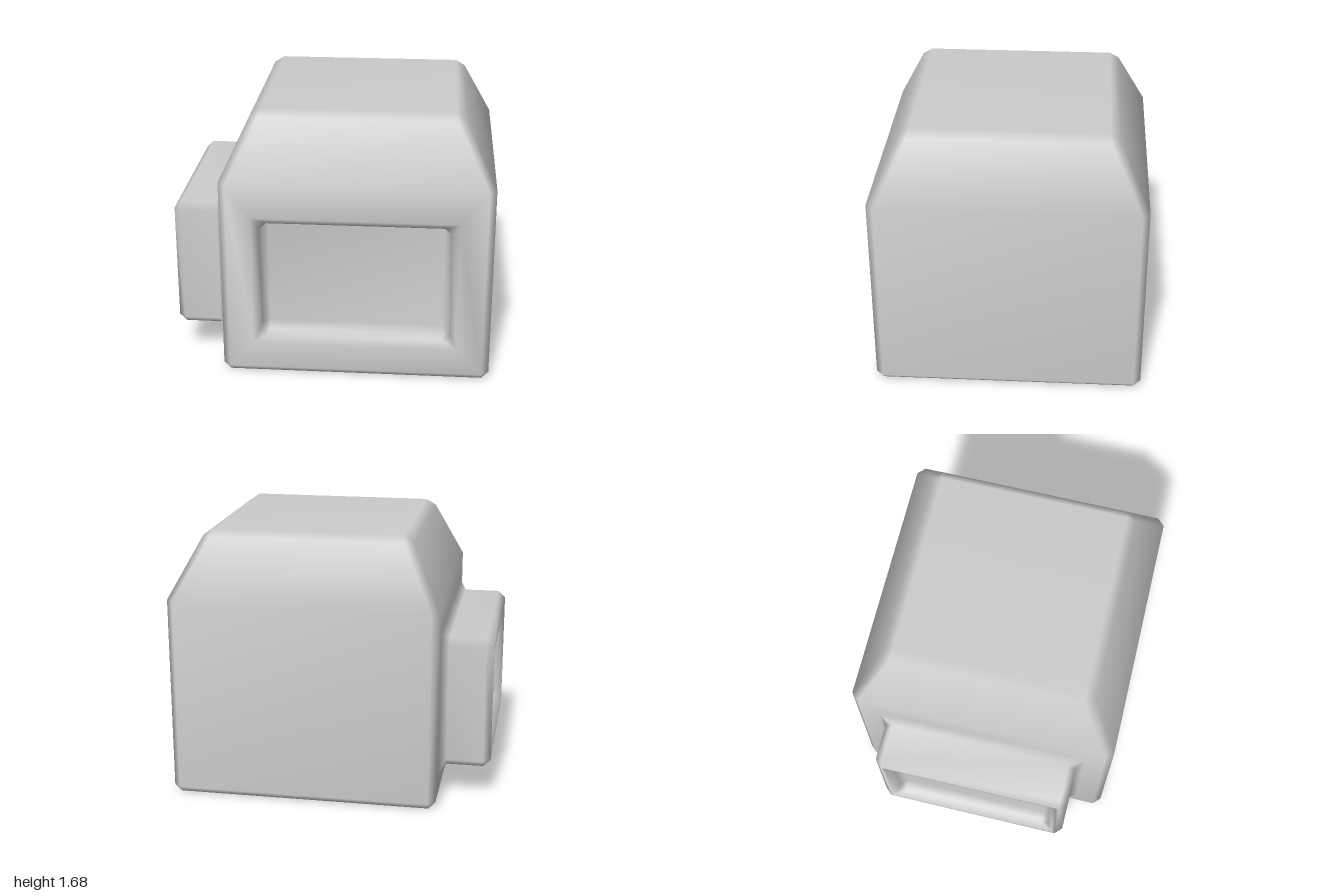
import * as THREE from 'three';
import { mergeVertices } from 'three/addons/utils/BufferGeometryUtils.js';

const B = 0.045; // bevel width

// Rectangle with corners cut by c, at height h, counter-clockwise in (u, v)
function ring(u0, u1, v0, v1, h, c = 0) {
  return [
    [u0 + c, v0, h], [u1 - c, v0, h], [u1, v0 + c, h], [u1, v1 - c, h],
    [u1 - c, v1, h], [u0 + c, v1, h], [u0, v1 - c, h], [u0, v0 + c, h],
  ];
}

// Joins rings with quads and caps the last one; place maps (u, v, h) to xyz
function loft(out, rings, place, { skip = () => false, capStart = false } = {}) {
  const same = (a, b) => Math.hypot(a[0] - b[0], a[1] - b[1], a[2] - b[2]) < 1e-6;
  const tri = (a, b, c) => {
    if (same(a, b) || same(b, c) || same(a, c)) return;
    for (const p of [a, b, c]) out.push(...place(...p));
  };
  for (let r = 0; r + 1 < rings.length; r++) {
    const a = rings[r], b = rings[r + 1];
    for (let i = 0; i < 8; i++) {
      if (skip(r, i)) continue;
      const j = (i + 1) % 8;
      tri(a[i], a[j], b[j]);
      tri(a[i], b[j], b[i]);
    }
  }
  const first = rings[0], last = rings[rings.length - 1];
  for (let i = 1; i < 7; i++) {
    tri(last[0], last[i], last[i + 1]);
    if (capStart) tri(first[0], first[i + 1], first[i]);
  }
}

export function createModel() {
  const group = new THREE.Group();
  const pos = [];

  // Body shell, bottom to tapered top; front and right walls are left open
  loft(pos, [
    ring(-0.68 + B, 1 - B, -0.84 + B, 0.84 - B, 0),
    ring(-0.68, 1, -0.84, 0.84, B, B),
    ring(-0.68, 1, -0.84, 0.84, 1.27, B),
    ring(-0.5, 0.81, -0.655, 0.655, 1.645, 0.05),
    ring(-0.435, 0.75, -0.595, 0.595, 1.685),
  ], (u, v, h) => [u, h, -v], { skip: (r, i) => r === 1 && (i === 0 || i === 6), capStart: true });

  // Front wall with the recessed window
  loft(pos, [
    ring(-0.68 + B, 1 - B, B, 1.27, 0.84),
    ring(-0.48, 0.79, 0.215, 1.06, 0.84),
    ring(-0.437, 0.747, 0.257, 1.015, 0.84 - B, B),
    ring(-0.437, 0.747, 0.257, 1.015, 0.68 + B, B),
    ring(-0.437 + B, 0.747 - B, 0.257 + B, 1.015 - B, 0.68),
  ], (u, v, h) => [u, v, h]);

  // Right wall with the side box, flared at its base and recessed at its end
  loft(pos, [
    ring(-0.84 + B, 0.84 - B, B, 1.27, -0.68),
    ring(-0.67, 0.67, 0.175, 1.1, -0.68),
    ring(-0.625, 0.625, 0.22, 1.055, -0.68 - B, B),
    ring(-0.625, 0.625, 0.22, 1.055, -1 + B, B),
    ring(-0.58, 0.58, 0.265, 1.01, -1),
    ring(-0.56, 0.56, 0.285, 0.99, -1),
    ring(-0.52, 0.52, 0.325, 0.95, -1 + 0.04, 0.04),
    ring(-0.52, 0.52, 0.325, 0.95, -0.935, 0.04),
    ring(-0.48, 0.48, 0.365, 0.91, -0.895),
  ], (u, v, h) => [h, v, u]);

  // Weld the walls so the shading runs smoothly over the bevels
  const soup = new THREE.BufferGeometry();
  soup.setAttribute('position', new THREE.Float32BufferAttribute(pos, 3));
  const geometry = mergeVertices(soup, 1e-4);
  geometry.computeVertexNormals();

  const housing = new THREE.Mesh(geometry, new THREE.MeshStandardMaterial({ color: 0xcccccc }));
  housing.name = 'housing';
  group.add(housing);
  return group;
}
